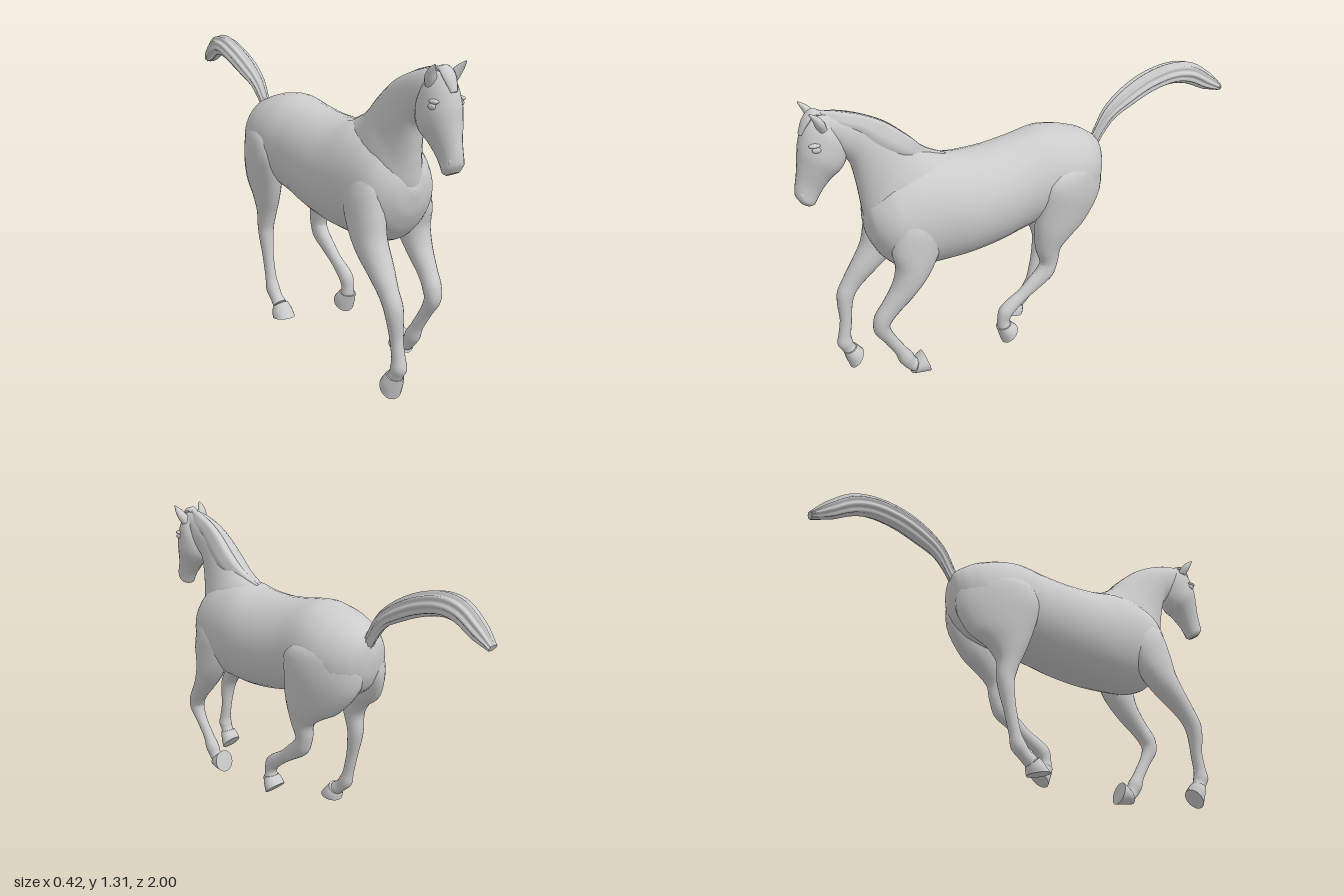
import * as THREE from 'three';

const V = (x, y, z) => new THREE.Vector3(x, y, z);
const material = new THREE.MeshStandardMaterial({ color: 0xcccccc, side: THREE.DoubleSide });

// Smooth skin over elliptical rings { c: centre, d: half-depth vector, w: half-width in x }
function skin(name, rings, { sides = 20, sub = 4, ridge = 0, lobes = 6 } = {}) {
  const centres = new THREE.CatmullRomCurve3(rings.map(r => r.c));
  const depths = new THREE.CatmullRomCurve3(rings.map(r => r.d));
  const widths = new THREE.CatmullRomCurve3(rings.map((r, i) => V(r.w, i * 0.05, 0)));
  const n = (rings.length - 1) * sub;
  const pos = [], index = [];
  const ringPoints = t => {
    const c = centres.getPoint(t), d = depths.getPoint(t), w = widths.getPoint(t).x;
    return Array.from({ length: sides }, (_, j) => {
      const a = j / sides * Math.PI * 2, k = 1 + ridge * Math.cos(lobes * a);
      return c.clone().addScaledVector(d, Math.sin(a) * k).add(V(w * Math.cos(a) * k, 0, 0));
    });
  };
  for (let i = 0; i <= n; i++) ringPoints(i / n).forEach(p => pos.push(p.x, p.y, p.z));
  for (let i = 0; i < n; i++) for (let j = 0; j < sides; j++) {
    const a = i * sides + j, b = i * sides + (j + 1) % sides;
    index.push(a, b, b + sides, a, b + sides, a + sides);
  }
  // End caps with their own vertices keep the rims sharp
  for (const t of [0, 1]) {
    const c = centres.getPoint(t), base = pos.length / 3;
    [c, ...ringPoints(t)].forEach(p => pos.push(p.x, p.y, p.z));
    for (let j = 0; j < sides; j++) {
      const a = base + 1 + j, b = base + 1 + (j + 1) % sides;
      index.push(base, ...(t ? [a, b] : [b, a]));
    }
  }
  const g = new THREE.BufferGeometry();
  g.setAttribute('position', new THREE.Float32BufferAttribute(pos, 3));
  g.setIndex(index);
  g.computeVertexNormals();
  const mesh = new THREE.Mesh(g, material);
  mesh.name = name;
  return mesh;
}

// Rings from pairs of profile points: [zA, yA, zB, yB, halfWidth, x]
const spans = (name, list, opt) => skin(name, list.map(([za, ya, zb, yb, w, x = 0]) => ({
  c: V(x, (ya + yb) / 2, (za + zb) / 2), d: V(0, (ya - yb) / 2, (za - zb) / 2), w })), opt);

// Rings square to a path: [x, y, z, halfWidth, halfDepth, outward slant of the front edge]
const limb = (name, list, opt) => skin(name, list.map(([x, y, z, w, d, slant = 0], i) => {
  const p = list[Math.max(i - 1, 0)], q = list[Math.min(i + 1, list.length - 1)];
  const t = V(0, q[1] - p[1], q[2] - p[2]).normalize();
  return { c: V(x, y, z), d: t.cross(V(1, 0, 0)).multiplyScalar(d).setX(Math.sign(x) * slant), w };
}), opt);

// Hoof from side-view corners, flaring from coronet to sole
function hoof(name, x, [tz, ty], [hz, hy], [sz, sy], [kz, ky]) {
  return spans(name, [[tz, ty, hz, hy, 0.037, x],
    [(tz + sz) / 2, (ty + sy) / 2, (hz + kz) / 2, (hy + ky) / 2, 0.047, x],
    [sz, sy, kz, ky, 0.049, x]], { sides: 18, sub: 3 });
}

function ball(name, x, y, z, sx, sy, sz) {
  const m = new THREE.Mesh(new THREE.SphereGeometry(1, 14, 10), material);
  m.name = name;
  m.position.set(x, y, z);
  m.scale.set(sx, sy, sz);
  return m;
}

export function createModel() {
  const model = new THREE.Group();
  model.name = 'horse';

  // Trunk from rump to chest
  model.add(spans('trunk', [
    [-0.368, 0.87, -0.368, 0.84, 0.012], [-0.358, 0.925, -0.358, 0.77, 0.06],
    [-0.33, 0.957, -0.33, 0.71, 0.108],
    [-0.27, 0.995, -0.27, 0.66, 0.155], [-0.17, 1.027, -0.17, 0.63, 0.187],
    [-0.07, 1.04, -0.07, 0.62, 0.19], [0.05, 1.02, 0.05, 0.595, 0.186],
    [0.18, 1.002, 0.18, 0.565, 0.195], [0.32, 1.002, 0.32, 0.545, 0.198],
    [0.44, 1.02, 0.44, 0.54, 0.19], [0.55, 1.01, 0.55, 0.543, 0.18],
    [0.64, 0.97, 0.64, 0.575, 0.163], [0.69, 0.92, 0.69, 0.63, 0.13],
    [0.725, 0.87, 0.725, 0.70, 0.08], [0.74, 0.80, 0.74, 0.775, 0.012]], { sides: 32 }));

  // Neck, crest to throat
  model.add(spans('neck', [
    [0.30, 0.985, 0.60, 0.64, 0.1], [0.40, 1.025, 0.69, 0.73, 0.118],
    [0.47, 1.065, 0.735, 0.80, 0.108, -0.005], [0.53, 1.125, 0.745, 0.88, 0.086, -0.01],
    [0.62, 1.2, 0.755, 0.97, 0.07, -0.015], [0.71, 1.245, 0.77, 1.05, 0.062, -0.02],
    [0.80, 1.275, 0.80, 1.09, 0.06, -0.02], [0.87, 1.285, 0.83, 1.13, 0.05, -0.02]], { sides: 24 }));

  // Head, forehead to jaw, poll to muzzle
  const hx = -0.02;
  const head = new THREE.Group();
  head.name = 'head';
  head.add(spans('skull', [
    [0.87, 1.283, 0.81, 1.22, 0.035, hx], [0.92, 1.265, 0.785, 1.13, 0.068, hx],
    [0.948, 1.22, 0.785, 1.075, 0.076, hx], [0.965, 1.165, 0.81, 1.038, 0.077, hx],
    [0.975, 1.1, 0.85, 1.01, 0.062, hx], [0.985, 1.04, 0.89, 0.965, 0.046, hx],
    [0.995, 0.995, 0.91, 0.935, 0.041, hx], [0.998, 0.96, 0.925, 0.912, 0.04, hx],
    [0.982, 0.928, 0.942, 0.908, 0.026, hx]], { sides: 24 }));
  for (const [side, s] of [['left', 1], ['right', -1]]) {
    head.add(limb(side + 'Ear', [
      [hx + s * 0.046, 1.225, 0.875, 0.02, 0.018], [hx + s * 0.055, 1.255, 0.887, 0.026, 0.019],
      [hx + s * 0.066, 1.285, 0.906, 0.017, 0.013], [hx + s * 0.072, 1.308, 0.927, 0.003, 0.003]], { sides: 12 }));
    head.add(ball(side + 'Eye', hx + s * 0.067, 1.16, 0.912, 0.01, 0.012, 0.018));
    head.add(ball(side + 'Brow', hx + s * 0.062, 1.177, 0.916, 0.014, 0.009, 0.024));
    head.add(ball(side + 'Nostril', hx + s * 0.027, 0.965, 0.975, 0.01, 0.017, 0.011));
  }
  head.add(limb('forelock', [
    [hx, 1.265, 0.845, 0.012, 0.01], [hx, 1.285, 0.895, 0.028, 0.013],
    [hx, 1.257, 0.925, 0.03, 0.013], [hx, 1.208, 0.951, 0.015, 0.008]], { sides: 16, ridge: 0.08 }));
  model.add(head);

  // Mane lying along the crest and slightly over the left of the neck
  model.add(spans('mane', [
    [0.37, 1.015, 0.42, 0.98, 0.012, 0], [0.47, 1.07, 0.53, 1.0, 0.028, 0.015],
    [0.53, 1.13, 0.60, 1.04, 0.034, 0.028], [0.62, 1.206, 0.68, 1.09, 0.032, 0.022],
    [0.71, 1.252, 0.74, 1.16, 0.028, 0.01], [0.80, 1.28, 0.81, 1.2, 0.026, 0],
    [0.87, 1.288, 0.85, 1.24, 0.018, -0.015]], { sides: 24, ridge: 0.06 }));

  // Raised, ridged tail
  model.add(limb('tail', [
    [0.01, 0.89, -0.33, 0.02, 0.022], [0.01, 0.96, -0.37, 0.022, 0.024],
    [0.008, 1.03, -0.42, 0.032, 0.03], [0.005, 1.09, -0.51, 0.043, 0.04],
    [0.005, 1.14, -0.62, 0.045, 0.044], [0.016, 1.168, -0.74, 0.044, 0.045],
    [0.027, 1.158, -0.83, 0.042, 0.045], [0.041, 1.11, -0.92, 0.036, 0.037],
    [0.055, 1.07, -0.993, 0.022, 0.015]], { sides: 54, ridge: 0.11, lobes: 9 }));

  // Left foreleg, folded
  const leftFore = new THREE.Group();
  leftFore.name = 'leftForeleg';
  leftFore.add(limb('leg', [
    [0.085, 0.93, 0.5, 0.03, 0.05], [0.118, 0.78, 0.55, 0.062, 0.11], [0.126, 0.67, 0.575, 0.062, 0.105],
    [0.125, 0.58, 0.595, 0.062, 0.075], [0.123, 0.5, 0.64, 0.052, 0.053],
    [0.117, 0.43, 0.695, 0.04, 0.042], [0.11, 0.375, 0.733, 0.038, 0.039],
    [0.108, 0.33, 0.74, 0.034, 0.035], [0.105, 0.26, 0.705, 0.025, 0.026],
    [0.1, 0.19, 0.665, 0.025, 0.026], [0.098, 0.14, 0.64, 0.031, 0.034],
    [0.097, 0.105, 0.62, 0.027, 0.03], [0.096, 0.085, 0.6, 0.031, 0.031]]),
    hoof('hoof', 0.096, [0.62, 0.05], [0.588, 0.118], [0.535, 0.038], [0.562, 0.142]));

  // Right foreleg, reaching forward
  const rightFore = new THREE.Group();
  rightFore.name = 'rightForeleg';
  rightFore.add(limb('leg', [
    [-0.085, 0.93, 0.52, 0.03, 0.05], [-0.12, 0.78, 0.57, 0.065, 0.11], [-0.132, 0.67, 0.61, 0.065, 0.1],
    [-0.137, 0.58, 0.655, 0.062, 0.075], [-0.14, 0.5, 0.72, 0.053, 0.053],
    [-0.145, 0.43, 0.775, 0.04, 0.042], [-0.145, 0.38, 0.805, 0.038, 0.039],
    [-0.143, 0.33, 0.815, 0.034, 0.033], [-0.137, 0.25, 0.82, 0.026, 0.026],
    [-0.135, 0.18, 0.832, 0.027, 0.027], [-0.135, 0.14, 0.835, 0.032, 0.034],
    [-0.135, 0.115, 0.825, 0.029, 0.03], [-0.135, 0.09, 0.812, 0.033, 0.03]]),
    hoof('hoof', -0.135, [0.847, 0.09], [0.785, 0.112], [0.822, 0.002], [0.757, 0.076]));

  // Left hind leg, swung under the belly
  const leftHind = new THREE.Group();
  leftHind.name = 'leftHindLeg';
  leftHind.add(limb('leg', [
    [0.085, 0.94, -0.18, 0.03, 0.07, 0.03], [0.1, 0.87, -0.19, 0.08, 0.15, 0.05],
    [0.11, 0.77, -0.175, 0.085, 0.177, 0.05], [0.116, 0.67, -0.125, 0.075, 0.152, 0.03],
    [0.12, 0.58, -0.075, 0.06, 0.1, 0.01], [0.115, 0.5, -0.055, 0.045, 0.06],
    [0.11, 0.43, -0.062, 0.036, 0.043], [0.11, 0.382, -0.045, 0.034, 0.043],
    [0.11, 0.335, 0.012, 0.029, 0.036], [0.11, 0.288, 0.075, 0.025, 0.029],
    [0.11, 0.25, 0.13, 0.028, 0.033], [0.11, 0.222, 0.16, 0.03, 0.034],
    [0.11, 0.185, 0.17, 0.027, 0.029], [0.11, 0.155, 0.168, 0.032, 0.031]]),
    hoof('hoof', 0.11, [0.203, 0.15], [0.137, 0.168], [0.178, 0.07], [0.105, 0.135]));

  // Right hind leg, standing
  const rightHind = new THREE.Group();
  rightHind.name = 'rightHindLeg';
  rightHind.add(limb('leg', [
    [-0.085, 0.94, -0.18, 0.03, 0.07, 0.03], [-0.1, 0.87, -0.19, 0.08, 0.15, 0.05],
    [-0.11, 0.77, -0.185, 0.085, 0.175, 0.05], [-0.117, 0.67, -0.165, 0.075, 0.152, 0.03],
    [-0.122, 0.58, -0.14, 0.058, 0.09, 0.01], [-0.122, 0.5, -0.14, 0.043, 0.05],
    [-0.122, 0.43, -0.15, 0.036, 0.04], [-0.123, 0.38, -0.145, 0.033, 0.035],
    [-0.125, 0.3, -0.13, 0.025, 0.028], [-0.125, 0.2, -0.107, 0.024, 0.026],
    [-0.125, 0.145, -0.09, 0.03, 0.034], [-0.125, 0.11, -0.06, 0.027, 0.029],
    [-0.125, 0.085, -0.03, 0.032, 0.031]]),
    hoof('hoof', -0.125, [0.003, 0.108], [-0.052, 0.062], [0.055, 0.045], [-0.048, 0.028]));

  model.add(leftFore, rightFore, leftHind, rightHind);
  return model;
}
